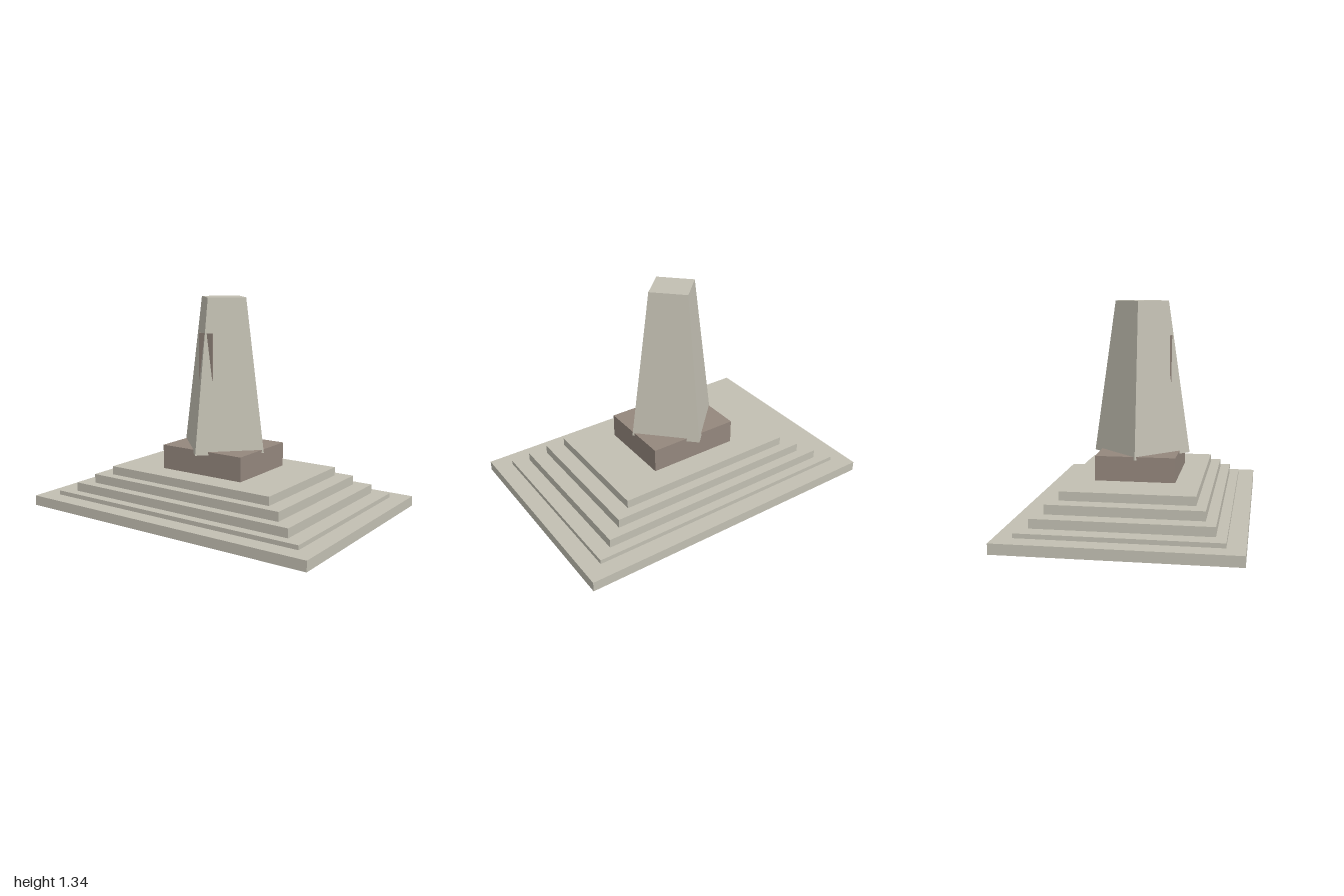
import * as THREE from 'three';

export function createModel() {
  const model = new THREE.Group();
  model.name = 'monument';

  const stone = new THREE.MeshStandardMaterial({ color: 0xc2bfb2 });
  stone.name = 'pale stone';
  const brown = new THREE.MeshStandardMaterial({ color: 0x94877d });
  brown.name = 'brown stone';

  // Box given by half width, half depth, bottom and top, at depth z
  const addBlock = (name, halfX, halfZ, bottom, top, material, z = 0) => {
    const geometry = new THREE.BoxGeometry(halfX * 2, top - bottom, halfZ * 2);
    const mesh = new THREE.Mesh(geometry, material);
    mesh.name = name;
    mesh.position.set(0, (bottom + top) / 2, z);
    model.add(mesh);
  };

  // Stepped base: half width, half depth, bottom, top
  const steps = [
    [1.0, 0.69, 0, 0.063],
    [0.89, 0.584, 0.063, 0.09],
    [0.79, 0.523, 0.09, 0.146],
    [0.69, 0.46, 0.146, 0.203],
    [0.59, 0.398, 0.203, 0.257],
  ];
  steps.forEach(([x, z, bottom, top], i) => addBlock(`step${i + 1}`, x, z, bottom, top, stone));

  // Pedestal
  addBlock('pedestal', 0.293, 0.245, 0.257, 0.409, brown);

  // Tapered four-sided pillar, its corners facing the front and sides
  const bottom = 0.39, top = 1.34;
  const taper = new THREE.CylinderGeometry(0.167, 0.303, top - bottom, 4).toNonIndexed();
  taper.computeVertexNormals();
  const pillar = new THREE.Mesh(taper, stone);
  pillar.name = 'pillar';
  pillar.position.y = (bottom + top) / 2;
  model.add(pillar);

  // Plaque sunk into the front edge of the pillar
  addBlock('plaque', 0.05, 0.004, 0.84, 1.128, brown, 0.186);

  return model;
}
